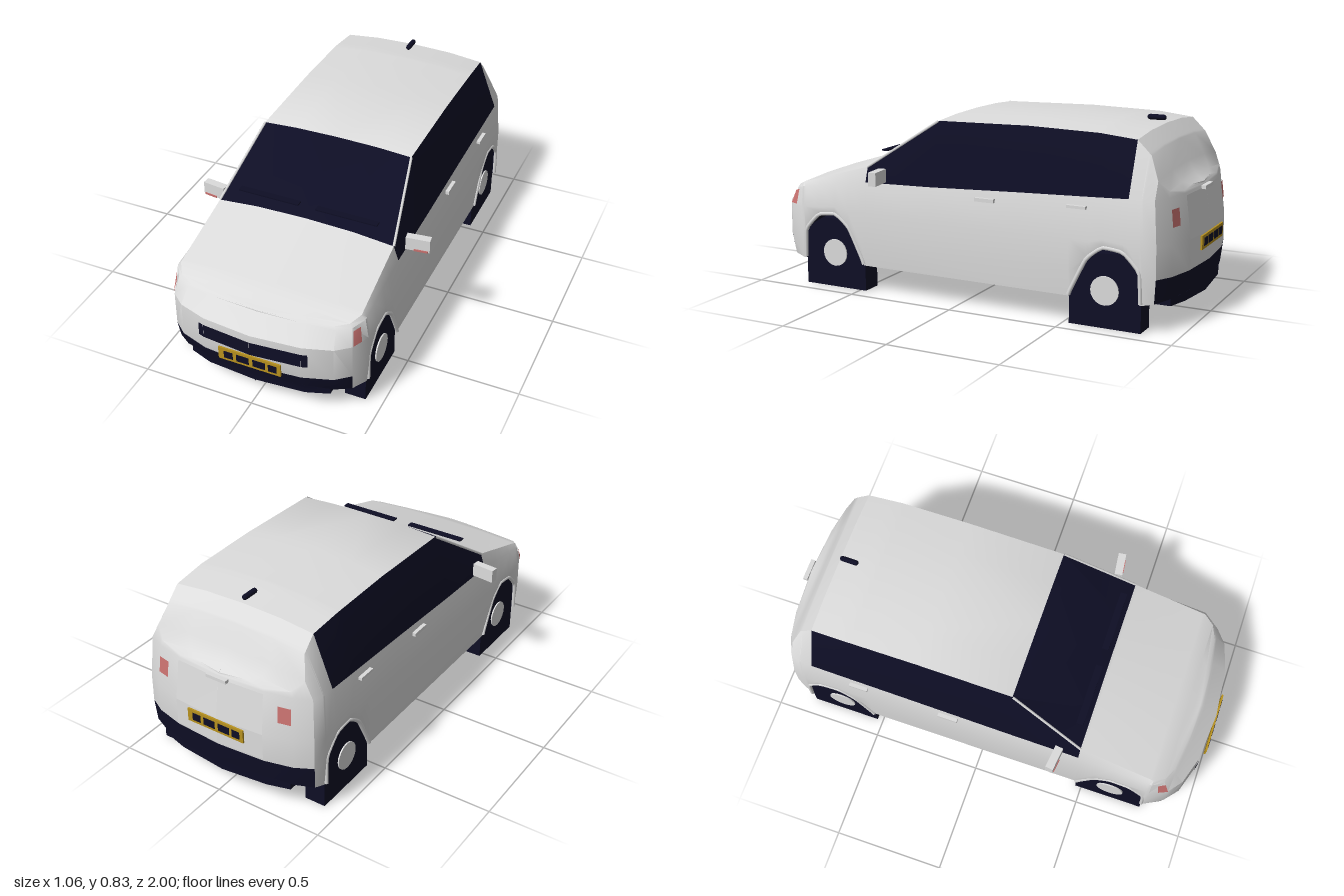
import * as THREE from 'three';
import { toCreasedNormals } from 'three/addons/utils/BufferGeometryUtils.js';

const mat = (name, color) => {
  const m = new THREE.MeshStandardMaterial({ color });
  m.name = name;
  return m;
};

// Body outline, nose to tail: z, half width, belt height, roof edge x, roof edge y, centre y
const KEYS = [
  [0.99, 0, 0.42, 0, 0.43, 0.435],
  [0.97, 0.22, 0.42, 0.2, 0.43, 0.44],
  [0.93, 0.345, 0.425, 0.32, 0.437, 0.447],
  [0.88, 0.405, 0.435, 0.38, 0.45, 0.465],
  [0.8, 0.44, 0.45, 0.41, 0.47, 0.485],
  [0.46, 0.44, 0.5, 0.405, 0.567, 0.59],
  [0.13, 0.44, 0.51, 0.345, 0.787, 0.8],
  [-0.3, 0.44, 0.53, 0.345, 0.797, 0.82],
  [-0.62, 0.44, 0.543, 0.345, 0.791, 0.813],
  [-0.78, 0.44, 0.55, 0.34, 0.775, 0.797],
  [-0.85, 0.438, 0.55, 0.34, 0.715, 0.735],
  [-0.9, 0.42, 0.55, 0.37, 0.62, 0.645],
  [-0.94, 0.345, 0.55, 0.325, 0.575, 0.59],
  [-0.97, 0.22, 0.55, 0.21, 0.56, 0.572],
  [-0.985, 0, 0.55, 0, 0.557, 0.565],
];
// Wheel arch: distance from the axle (away from mid-car), lower edge height
const ARCH = [[0.157, 0.12], [0.15, 0.25], [0.08, 0.325], [-0.01, 0.335], [-0.08, 0.28], [-0.15, 0.14], [-0.157, 0.12]];
const AXLES = [0.63, -0.685];
// How far each row of a section is pulled back at the ends
const PULL = [0.03, 0.03, 0.03, 0.03, 0, 0.005, 0.07, 0.08, 0.08, 0.08];

// Straight-line lookup in rows sorted by falling first value
function lookup(rows, t) {
  const i = Math.max(0, rows.findIndex((r, k) => k + 1 < rows.length && rows[k + 1][0] <= t));
  const f = (rows[i][0] - t) / (rows[i][0] - rows[i + 1][0]);
  return rows[i].map((v, c) => v + (rows[i + 1][c] - v) * f);
}

function lowerEdge(z) {
  const d = z > 0 ? z - AXLES[0] : AXLES[1] - z;
  return Math.abs(d) < 0.157 ? lookup(ARCH, d)[1] : 0.12 + Math.max(0, Math.abs(z) - 0.85) * 0.15;
}

// One half section, bottom centre round to top centre
function section(zs) {
  const [z, w, belt, xe, ye, yc] = lookup(KEYS, zs);
  const yb = lowerEdge(zs);
  const t = Math.max(0, (Math.abs(z) - 0.8) / 0.19) * (z > 0 ? 1 : -0.45);
  const inner = Math.min(w, 0.32);
  const y4 = Math.max(yb + 0.02, z > 0 ? 0.205 : 0.23);
  return [
    [0, 0.09], [inner, 0.1], [inner, yb], [w * 0.985, yb], [w, y4],
    [w, Math.max(y4 + 0.02, 0.36)], [w * 0.97, belt], [xe, ye],
    [xe * 0.55, ye + (yc - ye) * 0.75], [0, yc],
  ].map(([x, y], r) => new THREE.Vector3(x, y, z - t * PULL[r]));
}

const archZ = (axle) => ARCH.map(([d]) => axle + Math.sign(axle) * d);
const STATIONS = [...KEYS.map((k) => k[0]), ...AXLES.flatMap(archZ)].sort((a, b) => b - a);
const SECTIONS = STATIONS.map(section);

// Shell lofted through the stations; faces sorted into paint and dark
function bodyGeometry() {
  const pos = [], faces = [[], []], n = 18;
  for (const s of SECTIONS) {
    for (let j = 0; j < n; j++) {
      const p = s[j < 10 ? j : 18 - j];
      pos.push(j < 10 ? p.x : -p.x, p.y, p.z);
    }
  }
  for (let i = 0; i < SECTIONS.length - 1; i++) {
    const z0 = STATIONS[i], z1 = STATIONS[i + 1];
    for (let j = 0; j < n; j++) {
      const row = j < 9 ? j : 17 - j, k = (j + 1) % n;
      const under = row < 3;
      const bumper = row === 3 && (z1 >= 0.88 || z0 <= -0.9);
      const sideGlass = row === 6 && z0 <= 0.46 && z1 >= -0.78;
      const windscreen = row > 6 && z0 === 0.46;
      const f = faces[under || bumper || sideGlass || windscreen ? 1 : 0];
      const a = i * n + j, b = i * n + k, c = a + n, d = b + n;
      if (j < 9) f.push(a, c, b, b, c, d);
      else f.push(a, c, d, a, d, b);
    }
  }
  const g = new THREE.BufferGeometry();
  g.setAttribute('position', new THREE.Float32BufferAttribute(pos, 3));
  g.setIndex(faces.flat());
  g.addGroup(0, faces[0].length, 0);
  g.addGroup(faces[0].length, faces[1].length, 1);
  return toCreasedNormals(g, 0.55);
}

// Thin patch lying just off the body between two stations and two rows
function patch(i, r, u0, u1, v0, v1, side) {
  const [A, B, C, D] = [SECTIONS[i][r], SECTIONS[i + 1][r], SECTIONS[i][r + 1], SECTIONS[i + 1][r + 1]];
  const at = (u, v) => A.clone().lerp(B, u).lerp(C.clone().lerp(D, u), v);
  const normal = at(1, 0.5).sub(at(0, 0.5)).cross(at(0.5, 1).sub(at(0.5, 0))).normalize();
  const pts = [[u0, v0], [u1, v0], [u1, v1], [u0, v1]].map(([u, v]) => at(u, v).addScaledVector(normal, 0.005));
  const g = new THREE.BufferGeometry();
  g.setAttribute('position', new THREE.Float32BufferAttribute(pts.flatMap((p) => [p.x * side, p.y, p.z]), 3));
  g.setIndex(side > 0 ? [0, 1, 2, 0, 2, 3] : [0, 2, 1, 0, 3, 2]);
  g.computeVertexNormals();
  return g;
}

export function createModel() {
  const car = new THREE.Group();
  car.name = 'car';
  const paint = mat('body paint', 0xdcdcdc);
  const dark = mat('dark navy trim', 0x0e0e25);
  const red = mat('faded red', 0xc97270);
  const yellow = mat('plate yellow', 0xb8921f);

  const add = (name, geo, m, x = 0, y = 0, z = 0) => {
    const mesh = new THREE.Mesh(geo, m);
    mesh.name = name;
    mesh.position.set(x, y, z);
    car.add(mesh);
    return mesh;
  };
  const box = (name, w, h, d, m, x, y, z) => add(name, new THREE.BoxGeometry(w, h, d), m, x, y, z);

  add('body', bodyGeometry(), [paint, dark]);
  const tail = SECTIONS.length - 2;

  for (const s of [1, -1]) {
    // Grille, lamps and tailgate
    add('grille', patch(0, 4, 0, 1, 0.39, 0.8, s), dark);
    add('grilleEnd', patch(1, 4, 0, 0.2, 0.39, 0.8, s), dark);
    add('headlamp', patch(3, 5, 0, 0.55, 0.05, 0.85, s), red);
    add('tailLamp', patch(tail - 1, 5, 0.05, 0.5, 0.37, 0.75, s), red);
    add('tailgateLower', patch(tail, 4, 0, 1, 0.1, 1, s), paint);
    add('tailgateUpper', patch(tail, 5, 0, 1, 0, 0.95, s), paint);

    // Windscreen pillar
    const pillar = new THREE.LineCurve3(new THREE.Vector3(s * 0.405, 0.567, 0.46), new THREE.Vector3(s * 0.345, 0.787, 0.13));
    add('pillar', new THREE.TubeGeometry(pillar, 1, 0.006, 6), paint);

    // Wing mirror
    box('mirror', 0.105, 0.06, 0.035, paint, s * 0.478, 0.54, 0.365).rotation.y = s * 0.12;
    box('mirrorLamp', 0.06, 0.009, 0.006, red, s * 0.495, 0.514, 0.381).rotation.y = s * 0.12;

    // Door handles
    box('frontHandle', 0.02, 0.016, 0.09, paint, s * 0.436, 0.483, -0.14);
    box('rearHandle', 0.02, 0.012, 0.085, paint, s * 0.436, 0.498, -0.56);

    // Wiper
    box('wiper', 0.28, 0.006, 0.03, dark, s * 0.18, 0.63, 0.425);

    // Wheel blocks with arched tops, hubs and arch lips
    for (const axle of AXLES) {
      const shape = new THREE.Shape([[-0.158, 0], [0.158, 0], [0.158, 0.15], [0.06, 0.31], [-0.06, 0.32], [-0.158, 0.26]]
        .map(([a, b]) => new THREE.Vector2(Math.sign(axle) * a, b)));
      const wheel = add('wheel', new THREE.ExtrudeGeometry(shape, { depth: 0.095, bevelEnabled: false }), dark,
        s > 0 ? 0.33 : -0.425, 0, axle);
      wheel.rotation.y = Math.PI / 2;
      const hub = add('hub', new THREE.CylinderGeometry(0.062, 0.062, 0.008, 20), paint, s * 0.427, 0.16, axle);
      hub.rotation.z = Math.PI / 2;
      const lip = new THREE.CatmullRomCurve3(
        ARCH.map(([, y], i) => new THREE.Vector3(s * 0.435, y + 0.006, archZ(axle)[i])), false, 'catmullrom', 0.2);
      add('archLip', new THREE.TubeGeometry(lip, 24, 0.009, 6), paint);
    }
  }

  // Number plates with blank dark blocks
  for (const [y, z, dir] of [[0.231, 0.993, 1], [0.33, -0.993, -1]]) {
    box('plate', 0.282, 0.06, 0.008, yellow, 0, y, z);
    for (const [x, w] of [[-0.095, 0.04], [-0.03, 0.056], [0.044, 0.056], [0.105, 0.038]]) {
      box('plateBlock', w, 0.034, 0.004, dark, x * dir, y, z + dir * 0.0045);
    }
  }

  // Tailgate handle and roof aerial
  box('tailgateHandle', 0.1, 0.015, 0.02, paint, 0, 0.545, -0.965);
  add('aerial', new THREE.CapsuleGeometry(0.012, 0.06, 4, 10), dark, 0, 0.817, -0.735).rotation.x = Math.PI / 2;
  return car;
}
